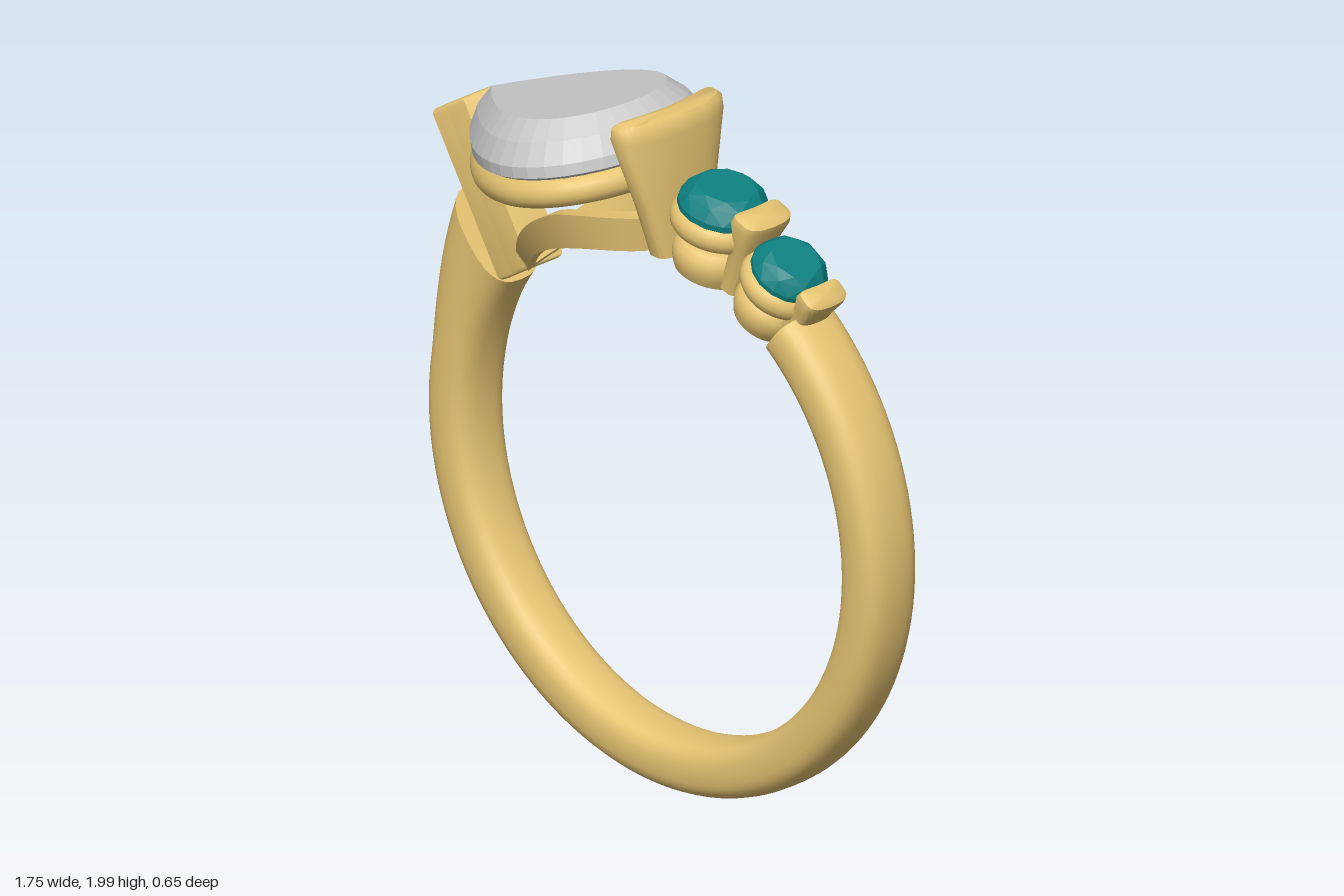
import * as THREE from 'three';
import { toCreasedNormals } from 'three/addons/utils/BufferGeometryUtils.js';
import { ConvexGeometry } from 'three/addons/geometries/ConvexGeometry.js';

const CY = 0.88;      // height of the finger hole's centre
const RIN = 0.717;    // finger hole radius
const TAU = Math.PI * 2;
const rad = THREE.MathUtils.degToRad;
const lerp = THREE.MathUtils.lerp;
const clamp = THREE.MathUtils.clamp;

const gold = new THREE.MeshStandardMaterial({ color: 0xe6c472 });
const clear = new THREE.MeshStandardMaterial({ color: 0xcccccc, flatShading: true });
const teal = new THREE.MeshStandardMaterial({ color: 0x0d8080, flatShading: true });

function add(parent, name, geometry, material) {
  const mesh = new THREE.Mesh(geometry, material);
  mesh.name = name;
  parent.add(mesh);
  return mesh;
}

// Skin over equal-length rings of [x, y, z]; looped joins last to first, otherwise both ends are capped
function loft(rings, looped = false, crease = 0.7) {
  const n = rings[0].length, m = rings.length;
  const pts = rings.flat();
  const idx = [];
  for (let i = 0; i < (looped ? m : m - 1); i++) {
    for (let j = 0; j < n; j++) {
      const a = i * n + j, b = i * n + (j + 1) % n;
      const c = ((i + 1) % m) * n + j, d = ((i + 1) % m) * n + (j + 1) % n;
      idx.push(a, b, c, b, d, c);
    }
  }
  if (!looped) {
    for (const [i, flip] of [[0, true], [m - 1, false]]) {
      const mid = [0, 1, 2].map(k => rings[i].reduce((s, p) => s + p[k], 0) / n);
      const c = pts.push(mid) - 1;
      for (let j = 0; j < n; j++) {
        const a = i * n + j, b = i * n + (j + 1) % n;
        idx.push(...(flip ? [b, a, c] : [a, b, c]));
      }
    }
  }
  // a negative enclosed volume means the faces point inward
  const v = pts.map(p => new THREE.Vector3(...p));
  let volume = 0;
  for (let i = 0; i < idx.length; i += 3) {
    volume += v[idx[i]].dot(v[idx[i + 1]].clone().cross(v[idx[i + 2]]));
  }
  if (volume < 0) idx.reverse();
  const g = new THREE.BufferGeometry().setFromPoints(v);
  g.setIndex(idx);
  return toCreasedNormals(g, crease);
}

// Rounded-rectangle outline in -1..1
function softSquare(n, power) {
  return Array.from({ length: n }, (_, i) => {
    const c = Math.cos(i / n * TAU), s = Math.sin(i / n * TAU);
    return [Math.sign(c) * Math.abs(c) ** power, Math.sign(s) * Math.abs(s) ** power];
  });
}

// Teardrop outline: tip at -x, half length 1 and half width 1
function pear(i, n) {
  const t = i / n * TAU;
  return [-Math.cos(t), Math.sin(t) * Math.sin(t / 2) / 0.77];
}

// Curved plate; levels are [height, x, half thickness, half width]
function prong(levels, bend) {
  return loft(levels.map(([y, x, ht, hw]) => softSquare(36, 0.5).map(([u, v]) => {
    const z = u * hw;
    return [x - bend * z * z + v * ht, y, z];
  })), false, 0.8);
}

// Frame standing on the finger circle, leaning by an angle from the top
function radial(parent, name, angle) {
  const g = new THREE.Group();
  g.name = name;
  g.position.y = CY;
  g.rotation.z = -rad(angle);
  parent.add(g);
  return g;
}

function band() {
  const rings = [], N = 96;
  for (let i = 0; i <= N; i++) {
    const deg = lerp(52, -218, i / N);
    const rise = clamp((-deg - 190) / 28, 0, 1);       // left shoulder swells outward
    const outer = 0.877 + 0.13 * rise ** 1.5;
    const half = lerp(0.09, 0.108, (Math.sin(rad(deg)) + 1) / 2);
    rings.push(softSquare(28, 0.72).map(([u, v]) => {
      const r = lerp(RIN, outer, (u + 1) / 2);
      const a = rad(deg - rise * 2 * u);
      return [r * Math.cos(a), CY + r * Math.sin(a), v * half];
    }));
  }
  return loft(rings);
}

// Teardrop rail curved along the finger hole
function galleryRail() {
  const N = 72, rings = [];
  for (let i = 0; i < N; i++) {
    const [px, pz] = pear(i, N);
    const top = lerp(0.76, 0.82, clamp((px + 1) / 1.2, 0, 1));
    const corners = [[0.39, 0.115, RIN], [0.45, 0.16, RIN], [0.465, 0.185, top], [0.4, 0.135, top]];
    rings.push(corners.map(([len, wid, r]) => {
      const a = -0.435 + px * len;
      return [r * Math.sin(a), CY + r * Math.cos(a), pz * wid];
    }));
  }
  return loft(rings, true, 0.6);
}

function pearStone() {
  const N = 40;
  // [height, x offset, half length, half width]
  const levels = [[-0.185, -0.03, 0.01, 0.008], [-0.12, -0.005, 0.17, 0.14], [-0.02, 0, 0.38, 0.318],
    [0.012, 0, 0.38, 0.318], [0.07, 0.01, 0.345, 0.28], [0.12, 0.02, 0.29, 0.225]];
  return loft(levels.map(([y, ox, len, wid]) => Array.from({ length: N }, (_, i) => {
    const [px, pz] = pear(i, N);
    return [ox + px * len, y, pz * wid];
  })), false, 0.1);
}

function roundStone(R) {
  // [count, radius, height, turn]
  const rows = [[8, 0.66, 0.45, 0], [8, 0.86, 0.3, 0.5], [16, 1, 0.03, 0], [16, 1, -0.1, 0], [8, 0.55, -0.48, 0.5], [1, 0, -0.82, 0]];
  const pts = rows.flatMap(([n, r, y, turn]) => Array.from({ length: n }, (_, i) => {
    const a = (i + turn) / n * TAU;
    return new THREE.Vector3(R * r * Math.cos(a), R * y, R * r * Math.sin(a));
  }));
  return new ConvexGeometry(pts);
}

// Round-sided cup with a centre hole, its underside following the finger hole
function cup(R) {
  const profile = [[0.04, 0.715], [R - 0.01, 0.715], [R, 0.74], [R + 0.004, 0.765], [R, 0.79],
    [R - 0.015, 0.808], [R - 0.035, 0.815], [0.055, 0.81], [0.04, 0.715]].map(p => new THREE.Vector2(...p));
  const g = new THREE.LatheGeometry(profile, 40);
  const p = g.attributes.position;
  for (let i = 0; i < p.count; i++) {
    if (p.getY(i) < 0.72) p.setY(i, Math.sqrt(RIN * RIN - p.getX(i) ** 2));
  }
  return toCreasedNormals(g, 0.7);
}

export function createModel() {
  const model = new THREE.Group();
  model.name = 'ring';
  add(model, 'band', band(), gold);
  add(model, 'galleryRail', galleryRail(), gold);

  // Tilted teardrop stone on its seat
  const main = new THREE.Group();
  main.name = 'mainSetting';
  main.position.set(-0.405, 1.79, 0);
  main.rotation.z = rad(14.5);
  model.add(main);
  add(main, 'mainStone', pearStone(), clear);
  const path = Array.from({ length: 48 }, (_, i) => {
    const [px, pz] = pear(i, 48);
    return new THREE.Vector3(px * 0.335, -0.07, pz * 0.28);
  });
  add(main, 'mainSeat', new THREE.TubeGeometry(new THREE.CatmullRomCurve3(path, true), 128, 0.044, 16, true), gold);

  // V-shaped prong gripping the tip
  const chevron = new THREE.Shape([[-0.04, 0], [0.005, -0.085], [0.04, -0.085], [0.005, 0], [0.04, 0.085], [0.005, 0.085]]
    .map(p => new THREE.Vector2(...p)));
  const tip = new THREE.ExtrudeGeometry(chevron, { depth: 0.47, bevelSize: 0.014, bevelThickness: 0.014, bevelSegments: 3 });
  tip.rotateX(-Math.PI / 2);
  const tipProng = add(model, 'tipProng', toCreasedNormals(tip, 0.7), gold);
  tipProng.position.set(-0.57, 1.345, 0);
  tipProng.rotation.z = rad(31.8);

  // Wide plate behind the round end
  add(model, 'centreProng', prong([[1.595, 0.032, 0.034, 0.09], [1.75, 0.028, 0.038, 0.135], [1.95, 0.012, 0.046, 0.193],
    [1.985, 0.01, 0.043, 0.19], [1.998, 0.01, 0.03, 0.175]], 0.9), gold);

  // Two round side stones, each with cup and seat ring
  for (const [angle, R, cupR, height] of [[12.5, 0.127, 0.113, 0.925], [30, 0.11, 0.1, 0.91]]) {
    const g = radial(model, 'sideSetting', angle);
    add(g, 'sideStone', roundStone(R), teal).position.y = height;
    add(g, 'sideCup', cup(cupR), gold);
    const seat = add(g, 'sideSeat', new THREE.TorusGeometry(R - 0.027, 0.041, 16, 48), gold);
    seat.rotation.x = Math.PI / 2;
    seat.position.y = height - 0.05;
  }

  // Prongs between and after the side stones
  add(radial(model, 'middleProng', 21.4), 'middleProngBar',
    prong([[0.73, 0, 0.03, 0.06], [0.9, 0, 0.034, 0.07], [0.96, 0, 0.045, 0.088], [0.982, 0, 0.043, 0.084], [0.99, 0, 0.03, 0.07]], 1.5), gold);
  add(radial(model, 'endProng', 38), 'endProngBar',
    prong([[0.8, 0, 0.032, 0.055], [0.9, 0, 0.034, 0.06], [0.94, 0, 0.038, 0.075], [0.958, 0, 0.036, 0.072], [0.966, 0, 0.025, 0.06]], 1.5), gold);
  return model;
}
